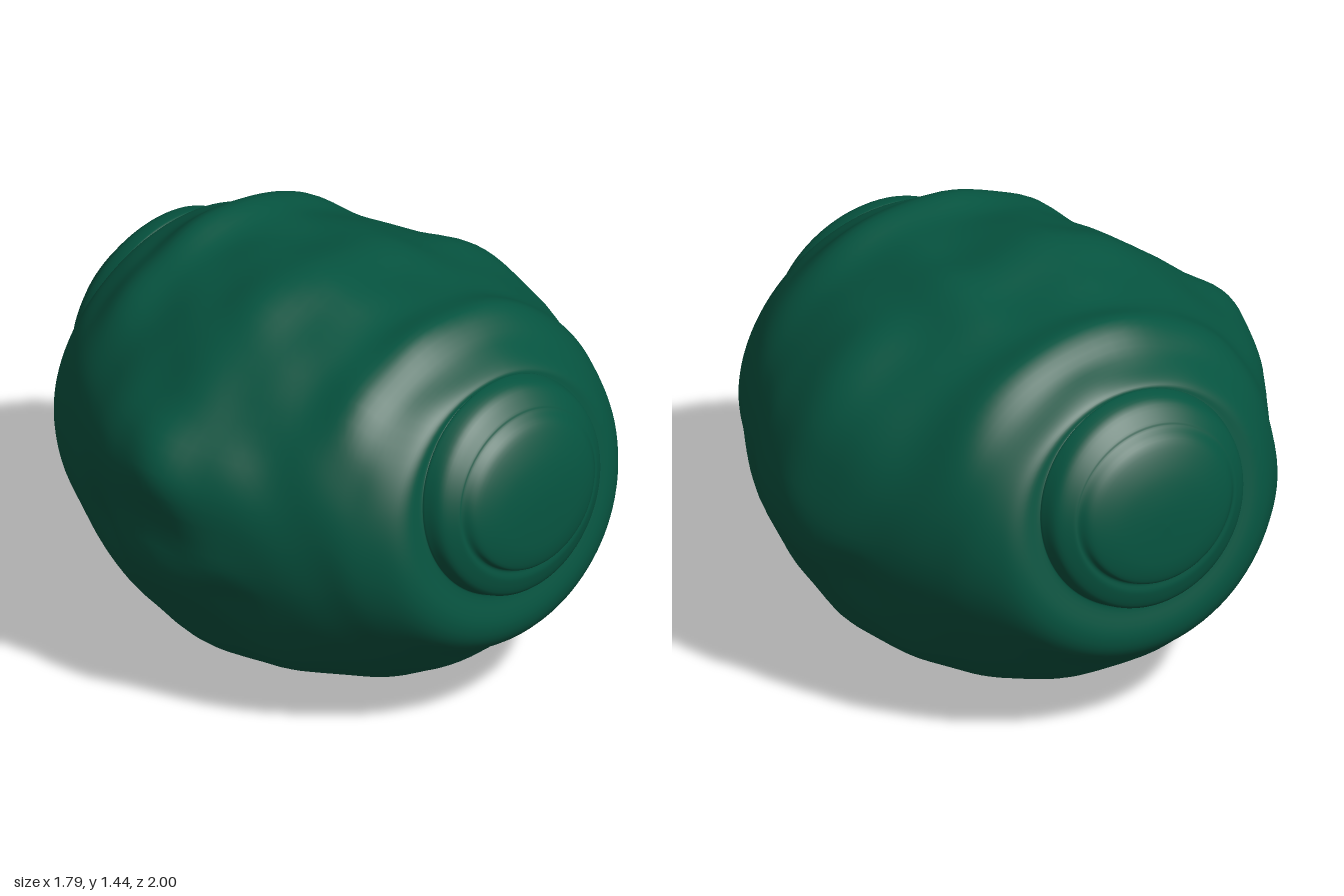
import * as THREE from 'three';

const SEGMENTS = 96; // points around each cross-section
const STEPS = 5; // rings between two listed cross-sections

// Outline of the widest cross-section, counterclockwise from the +x side
const OUTLINE = [
  [0.89, 0.75], [0.86, 0.9], [0.8, 1.05], [0.7, 1.17], [0.55, 1.27], [0.4, 1.33], [0.25, 1.4], [0.1, 1.4],
  [-0.15, 1.45], [-0.35, 1.4], [-0.5, 1.31], [-0.7, 1.15], [-0.84, 1.05], [-0.9, 0.93], [-0.87, 0.75],
  [-0.87, 0.6], [-0.83, 0.5], [-0.75, 0.38], [-0.65, 0.22], [-0.5, 0.12], [-0.3, 0.06], [-0.15, 0.02],
  [0.1, 0.005], [0.35, 0.07], [0.5, 0.13], [0.65, 0.24], [0.72, 0.35], [0.8, 0.5], [0.87, 0.62],
];

// Cross-sections from the middle to one end: z, half width, top, bottom, tilt, roundness
const SECTIONS = [
  [0, 0.89, 1.45, 0.005, 0, 0],
  [0.2, 0.85, 1.415, 0.015, 0, 0.4],
  [0.4, 0.765, 1.39, 0.05, 0.04, 0.85],
  [0.58, 0.68, 1.405, 0.155, 0.1, 1],
  [0.7, 0.615, 1.33, 0.26, 0.13, 1],
  [0.79, 0.535, 1.29, 0.33, 0.16, 1],
  [0.825, 0.47, 1.27, 0.41, 0.18, 1],
  [0.828, 0.4, 1.255, 0.51, 0.18, 1], // groove round the end cap
  [0.84, 0.39, 1.265, 0.525, 0.18, 1],
  [0.89, 0.37, 1.25, 0.54, 0.16, 1],
  [0.925, 0.325, 1.2, 0.6, 0.14, 1],
  [0.932, 0.305, 1.18, 0.64, 0.13, 1], // groove round the inner disc
  [0.96, 0.27, 1.14, 0.65, 0.11, 1],
  [0.983, 0.19, 1.05, 0.7, 0.08, 1],
  [0.994, 0.09, 0.95, 0.77, 0.05, 1],
  [0.997, 0, 0.86, 0.86, 0.03, 1],
];

// Soft hollows and swellings: x, y, z, size, depth (negative swells)
const DENTS = [
  [0.8, 0.58, 0.33, 0.11, 0.04], [0.82, 0.52, -0.28, 0.1, 0.03],
  [-0.82, 0.52, 0.28, 0.1, 0.03], [-0.8, 0.58, -0.33, 0.11, 0.04],
  [0.74, 0.95, 0.3, 0.16, -0.015], [-0.74, 0.95, -0.3, 0.16, -0.025],
  [0.6, 0.3, -0.35, 0.16, -0.015], [-0.6, 0.3, 0.35, 0.16, -0.015],
];

// One smooth curve per column, running from the back end to the front end
function sectionCurves() {
  const back = SECTIONS.slice(1).reverse().map(([z, ...rest]) => [-z, ...rest]);
  const all = [...back, ...SECTIONS];
  const curves = SECTIONS[0].map((_, c) =>
    new THREE.SplineCurve(all.map((row, i) => new THREE.Vector2(i, row[c]))));
  return { curves, count: (all.length - 1) * STEPS };
}

// How far the surface is pushed inwards at a point
function hollow(x, y, z) {
  let d = 0.005 * Math.sin(9 * x + 4 * z + 1) * Math.sin(8 * y - 5 * z)
    + 0.004 * Math.sin(17 * z + 6 * y) * Math.sin(15 * x + 7 * y);
  d *= 1 - THREE.MathUtils.smoothstep(Math.abs(z), 0.65, 0.8);
  for (const [dx, dy, dz, size, depth] of DENTS) {
    const r2 = (x - dx) ** 2 + (y - dy) ** 2 + (z - dz) ** 2;
    d += depth * Math.exp(-r2 / (size * size));
  }
  return d;
}

function bodyGeometry() {
  const outline = new THREE.CatmullRomCurve3(
    OUTLINE.map(([x, y]) => new THREE.Vector3(x / 0.89, (y - 0.7275) / 0.7225, 0)), true);
  const { curves, count } = sectionCurves();
  const positions = [];
  const indices = [];
  for (let j = 0; j <= count; j++) {
    const [z, half, top, bottom, tilt, round] = curves.map((c) => c.getPoint(j / count).y);
    const middle = (top + bottom) / 2;
    for (let i = 0; i < SEGMENTS; i++) {
      const p = outline.getPoint(i / SEGMENTS);
      const direction = p.clone().normalize();
      p.lerp(direction, round);
      let x = p.x * half;
      let y = middle + (p.y * (top - bottom)) / 2;
      // Each end leans back towards the top
      const zz = z - Math.sign(z) * tilt * (y - 0.85);
      const d = hollow(x, y, zz);
      x -= direction.x * d;
      y -= direction.y * d;
      positions.push(x, Math.max(y, 0), zz);
      if (j < count) {
        const n = (i + 1) % SEGMENTS;
        const a = j * SEGMENTS;
        const b = a + SEGMENTS;
        indices.push(a + i, a + n, b + n, a + i, b + n, b + i);
      }
    }
  }
  const geometry = new THREE.BufferGeometry();
  geometry.setAttribute('position', new THREE.Float32BufferAttribute(positions, 3));
  geometry.setIndex(indices);
  geometry.computeVertexNormals();
  return geometry;
}

export function createModel() {
  const green = new THREE.MeshStandardMaterial({ color: 0x065440 });
  green.name = 'deep green';
  const group = new THREE.Group();
  group.name = 'lumpyBoulder';
  const body = new THREE.Mesh(bodyGeometry(), green);
  body.name = 'body';
  group.add(body);
  return group;
}
